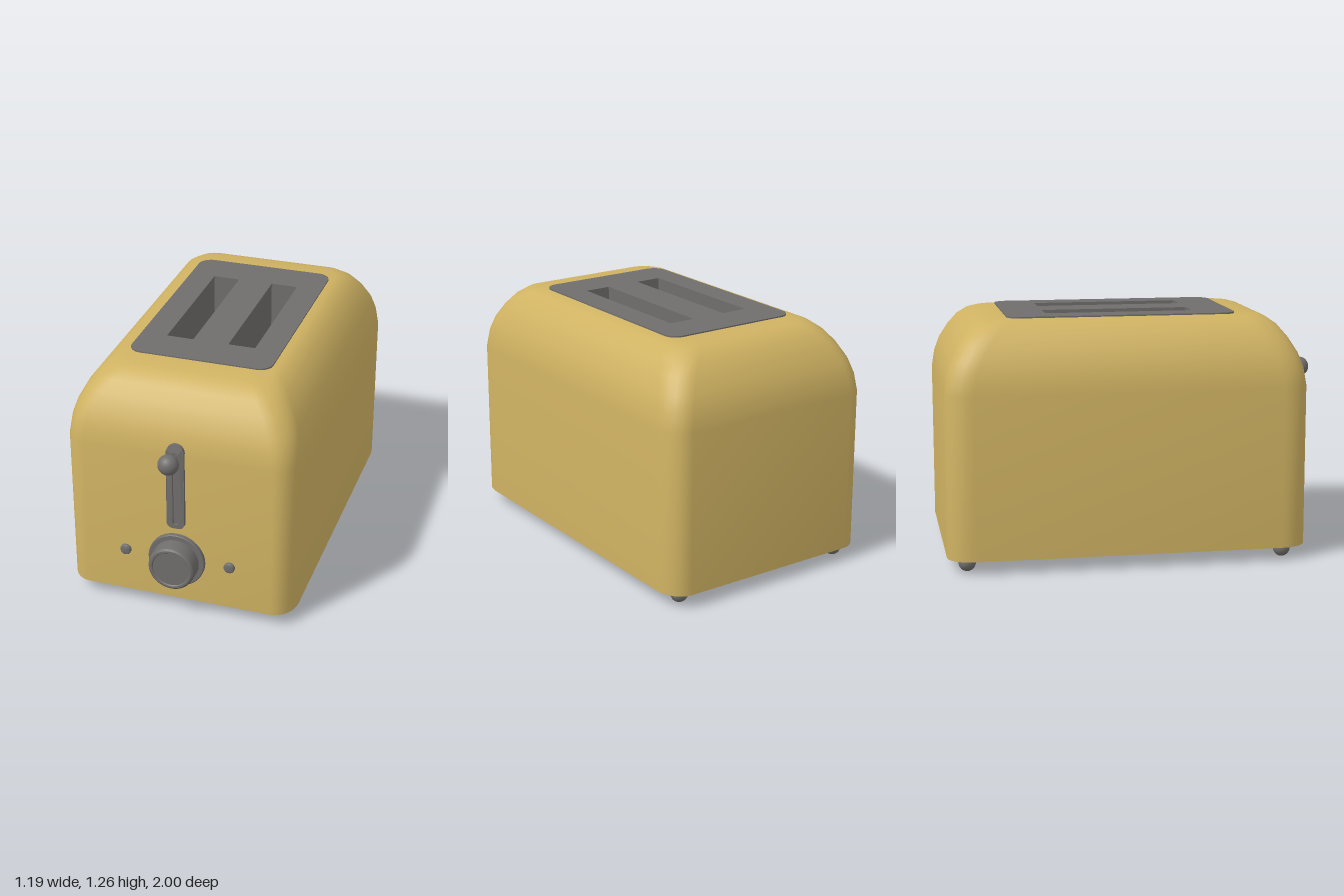
import * as THREE from 'three';
import { toCreasedNormals } from 'three/addons/utils/BufferGeometryUtils.js';

const BODY_Z = -0.0775; // centre of the shell along z
const FRONT_Z = 0.845;  // front wall of the shell

// Rounded rectangle path centred on (cx, cy)
function roundedRect(path, cx, cy, hw, hh, rTop, rBottom = rTop) {
  path.moveTo(cx + hw, cy - hh + rBottom);
  path.lineTo(cx + hw, cy + hh - rTop);
  path.absarc(cx + hw - rTop, cy + hh - rTop, rTop, 0, Math.PI / 2);
  path.lineTo(cx - hw + rTop, cy + hh);
  path.absarc(cx - hw + rTop, cy + hh - rTop, rTop, Math.PI / 2, Math.PI);
  path.lineTo(cx - hw, cy - hh + rBottom);
  path.absarc(cx - hw + rBottom, cy - hh + rBottom, rBottom, Math.PI, Math.PI * 1.5);
  path.lineTo(cx + hw - rBottom, cy - hh);
  path.absarc(cx + hw - rBottom, cy - hh + rBottom, rBottom, Math.PI * 1.5, Math.PI * 2);
  path.closePath();
  return path;
}

// Horizontal rounded-rectangle ring used for the shell loft
function ring(hx, hz, rx, rz, y, segments) {
  const points = [];
  const corners = [[1, 1], [-1, 1], [-1, -1], [1, -1]];
  corners.forEach(([sx, sz], k) => {
    for (let i = 0; i <= segments; i++) {
      const a = (k + i / segments) * Math.PI / 2;
      points.push([sx * (hx - rx) + rx * Math.cos(a), y, sz * (hz - rz) + rz * Math.sin(a)]);
    }
  });
  return points;
}

function loft(rings) {
  const n = rings[0].length;
  const index = [];
  for (let i = 0; i < rings.length - 1; i++) {
    for (let j = 0; j < n; j++) {
      const a = i * n + j, b = i * n + (j + 1) % n;
      index.push(a, a + n, b, b, a + n, b + n);
    }
  }
  const geometry = new THREE.BufferGeometry();
  geometry.setAttribute('position', new THREE.Float32BufferAttribute(rings.flat(2), 3));
  geometry.setIndex(index);
  return toCreasedNormals(geometry, 0.6);
}

function shellGeometry() {
  // [x inset, z inset, height] of the domed upper edge
  const profile = [
    [0, 0, 0.07], [0, 0, 0.9], [0.013, 0.014, 0.99], [0.036, 0.04, 1.065],
    [0.075, 0.083, 1.14], [0.12, 0.13, 1.2], [0.165, 0.18, 1.237],
    [0.2, 0.225, 1.251], [0.24, 0.345, 1.255],
  ];
  const rings = profile.map(([ix, iz, y]) => ring(0.596 - ix, 0.9225 - iz, 0.11, 0.14, y, 6));
  return loft([ring(0, 0, 0, 0, 0.07, 6), ...rings]);
}

export function createModel() {
  const model = new THREE.Group();
  const gold = new THREE.MeshStandardMaterial({ color: 0xcfb262 });
  const grey = new THREE.MeshStandardMaterial({ color: 0x706e6c });
  const greyDouble = new THREE.MeshStandardMaterial({ color: 0x706e6c, side: THREE.DoubleSide });

  function add(name, geometry, material, x = 0, y = 0, z = 0) {
    const mesh = new THREE.Mesh(geometry, material);
    mesh.name = name;
    mesh.position.set(x, y, z);
    model.add(mesh);
    return mesh;
  }

  add('shell', shellGeometry(), gold, 0, 0, BODY_Z);

  // Top plate with two bread slots
  const slotX = 0.162, slotHalfW = 0.07, slotHalfL = 0.38;
  const plate = roundedRect(new THREE.Shape(), 0, 0, 0.368, 0.588, 0.07);
  for (const side of [-1, 1]) {
    plate.holes.push(roundedRect(new THREE.Path(), side * slotX, 0, slotHalfW, slotHalfL, 0.006));
  }
  const plateGeometry = new THREE.ExtrudeGeometry(plate, { depth: 0.014, bevelEnabled: false, curveSegments: 8 });
  plateGeometry.rotateX(-Math.PI / 2);
  add('topPlate', plateGeometry, grey, 0, 1.247, -0.08);

  // Slot wells: boxes without their upper face
  const depth = 0.45;
  for (const side of [-1, 1]) {
    const well = new THREE.BoxGeometry(slotHalfW * 2, depth, slotHalfL * 2);
    const faces = Array.from(well.index.array);
    faces.splice(12, 6);
    well.setIndex(faces);
    well.clearGroups();
    add(side > 0 ? 'leftSlotWell' : 'rightSlotWell', well, greyDouble, side * slotX, 1.258 - depth / 2, -0.08);
  }

  // Lever track, its upper end leaning back with the shell
  const track = roundedRect(new THREE.Shape(), 0, 0.735, 0.046, 0.235, 0.045, 0.03);
  track.holes.push(roundedRect(new THREE.Path(), 0, 0.725, 0.014, 0.205, 0.013));
  const trackGeometry = new THREE.ExtrudeGeometry(track, { depth: 0.028, bevelEnabled: false, curveSegments: 8 });
  const p = trackGeometry.attributes.position;
  for (let i = 0; i < p.count; i++) {
    p.setZ(i, p.getZ(i) - 0.25 * Math.max(0, p.getY(i) - 0.9));
  }
  trackGeometry.computeVertexNormals();
  add('leverTrack', trackGeometry, grey, 0, 0, 0.838);
  add('leverTrackBack', new THREE.BoxGeometry(0.034, 0.42, 0.016), grey, 0, 0.72, 0.842);

  // Lever stem and ball
  const stem = new THREE.LineCurve3(new THREE.Vector3(0, 0.89, 0.83), new THREE.Vector3(0, 0.912, 0.95));
  add('leverStem', new THREE.TubeGeometry(stem, 1, 0.009, 10), grey);
  add('leverBall', new THREE.SphereGeometry(0.052, 32, 20), grey, 0, 0.915, 0.951).scale.z = 0.94;

  // Browning dial turned around the z axis
  const turned = (points) => toCreasedNormals(
    new THREE.LatheGeometry(points.map(([r, h]) => new THREE.Vector2(r, h)), 48).rotateX(Math.PI / 2), 0.6);
  add('dialBase', turned([[0.147, -0.005], [0.147, 0.019], [0.143, 0.022], [0, 0.022]]), grey, 0, 0.31, FRONT_Z);
  add('dialKnob', turned([
    [0.12, 0.015], [0.12, 0.09], [0.117, 0.101], [0.108, 0.108], [0.098, 0.108],
    [0.094, 0.103], [0, 0.103],
  ]), grey, 0, 0.31, FRONT_Z);

  // Small domed buttons beside the dial
  for (const side of [-1, 1]) {
    add(side > 0 ? 'leftButton' : 'rightButton',
      turned([[0.028, -0.005], [0.028, 0.012], [0.024, 0.018], [0.014, 0.021], [0, 0.022]]),
      grey, side * 0.274, 0.313, FRONT_Z);
  }

  // Ball feet
  for (const x of [-0.49, 0.49]) {
    for (const z of [0.73, -0.9]) {
      add('foot', new THREE.SphereGeometry(0.044, 24, 16), grey, x, 0.044, z);
    }
  }
  return model;
}
